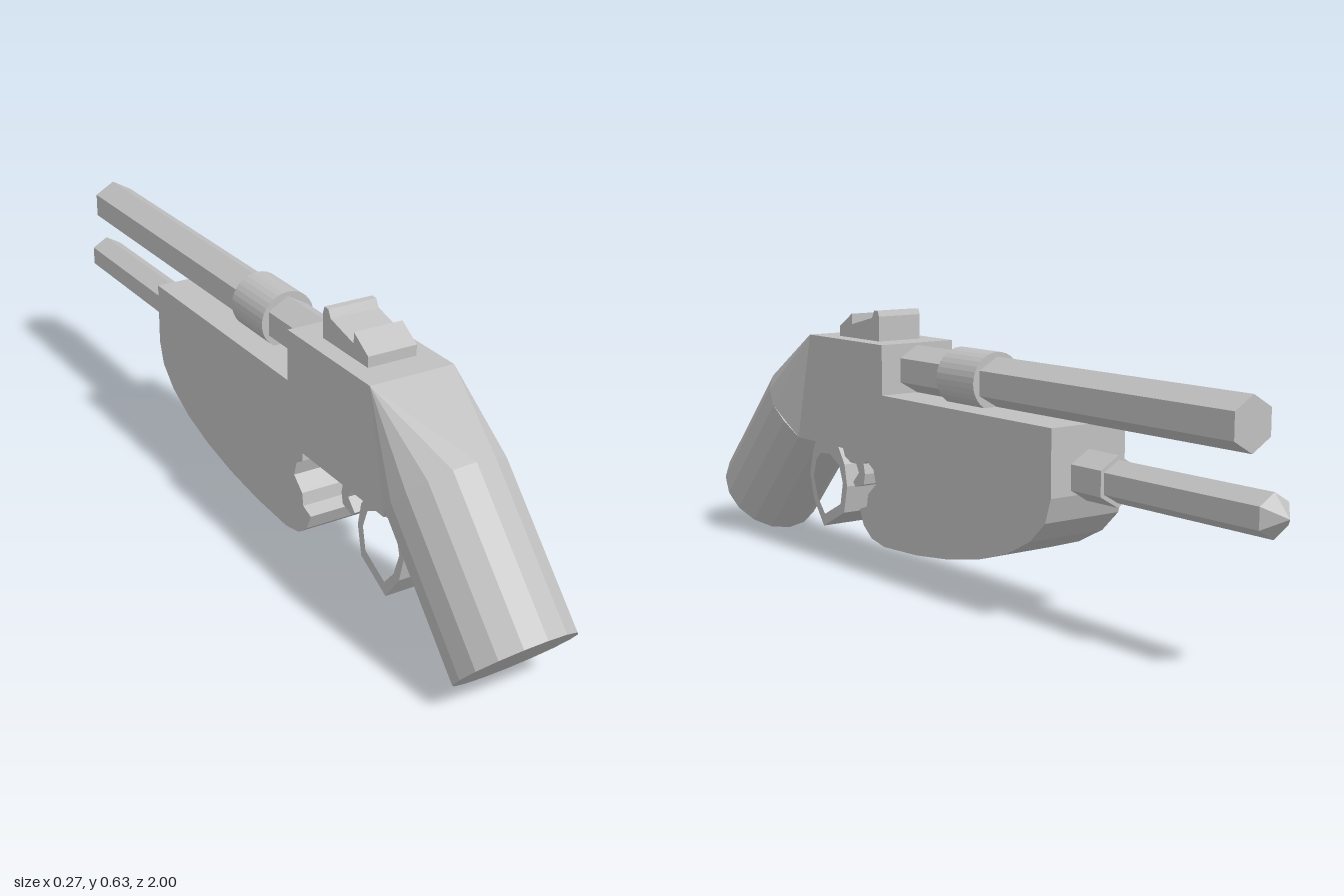
import * as THREE from 'three';

const metal = new THREE.MeshStandardMaterial({ color: 0xc0c0c0, flatShading: true });
metal.name = 'plain grey';

function add(group, name, geometry) {
  const mesh = new THREE.Mesh(geometry, metal);
  mesh.name = name;
  group.add(mesh);
  return mesh;
}

const points = (list) => list.map(([z, y]) => new THREE.Vector2(z, y));

// Side profile in (z, y), given a width across x and centred on x = 0
function slab(shape, width) {
  const g = new THREE.ExtrudeGeometry(shape, { depth: width, bevelEnabled: false, curveSegments: 7 });
  return g.translate(0, 0, -width / 2).rotateY(-Math.PI / 2);
}

// Rod along z from z0 (rear) to z1 (muzzle end)
function rod(r0, r1, sides, y, z0, z1) {
  const g = new THREE.CylinderGeometry(r1, r0, z0 - z1, sides);
  return g.rotateX(-Math.PI / 2).translate(0, y, (z0 + z1) / 2);
}

// Round slanted grip, lofted into the four corners of the body's rear face
function gripGeometry() {
  const n = 16, r = 0.135, v = [];
  const ring = (z, y) => Array.from({ length: n + 1 }, (_, i) => {
    const a = (i / n) * Math.PI * 2, c = Math.cos(a) * r;
    return [Math.sin(a) * r, y + c * 0.73, z + c * 0.685];
  });
  const butt = ring(0.9075, 0.0985), neck = ring(0.657, 0.367);
  const corners = [[0.103, 0.56, 0.523], [0.103, 0.29, 0.587], [-0.103, 0.29, 0.587], [-0.103, 0.56, 0.523]];
  const tri = (...p) => p.forEach((q) => v.push(...q));
  for (let i = 0; i < n; i++) {
    const q = Math.floor(i / 4);
    tri([0, 0.0985, 0.9075], butt[i + 1], butt[i]);
    tri(butt[i], butt[i + 1], neck[i + 1]);
    tri(butt[i], neck[i + 1], neck[i]);
    tri(neck[i], neck[i + 1], corners[q]);
    if (i % 4 === 0) tri(neck[i], corners[q], corners[(q + 3) % 4]);
  }
  const g = new THREE.BufferGeometry();
  g.setAttribute('position', new THREE.Float32BufferAttribute(v, 3));
  g.computeVertexNormals();
  return g;
}

export function createModel() {
  const model = new THREE.Group();
  model.name = 'toyPistol';

  // Body with a stepped top, finger notch and rounded belly
  const body = new THREE.Shape(points([
    [0.523, 0.56], [0.587, 0.29], [0.265, 0.29], [0.265, 0.27], [0.24, 0.255], [0.23, 0.22],
    [0.265, 0.19], [0.27, 0.16], [0.302, 0.148], [0.285, 0.11], [0.25, 0.083], [0.195, 0.072],
  ]));
  body.bezierCurveTo(-0.12, 0.072, -0.43, 0.15, -0.43, 0.29);
  body.lineTo(-0.43, 0.44);
  body.lineTo(0.2, 0.44);
  body.lineTo(0.2, 0.56);
  add(model, 'body', slab(body, 0.206));

  add(model, 'grip', gripGeometry());

  // Barrel and its clamp
  add(model, 'barrel', rod(0.0575, 0.0575, 6, 0.497, 0.2, -0.9));
  add(model, 'barrelClamp', rod(0.068, 0.068, 32, 0.497, 0.027, -0.113));

  // Lower rod with collar and pointed tip
  add(model, 'rodCollar', rod(0.056, 0.056, 6, 0.33, -0.4, -0.525));
  add(model, 'lowerRod', rod(0.046, 0.046, 6, 0.33, -0.5, -0.96));
  add(model, 'rodTip', rod(0.046, 0, 6, 0.33, -0.96, -1));

  // Rear sight
  add(model, 'sight', slab(new THREE.Shape(points([
    [0.45, 0.555], [0.45, 0.585], [0.395, 0.619], [0.395, 0.593], [0.305, 0.615],
    [0.295, 0.633], [0.28, 0.634], [0.275, 0.62], [0.275, 0.555],
  ])), 0.12));

  // Finger guard loop
  const guard = new THREE.Shape(points([
    [0.587, 0.25], [0.603, 0.19], [0.587, 0.125], [0.539, 0.06], [0.442, 0.11],
    [0.426, 0.18], [0.437, 0.235], [0.464, 0.275], [0.475, 0.295], [0.565, 0.295],
  ]));
  guard.holes.push(new THREE.Path(points([
    [0.571, 0.23], [0.585, 0.185], [0.566, 0.13], [0.533, 0.092], [0.458, 0.13],
    [0.446, 0.185], [0.462, 0.23], [0.507, 0.253], [0.55, 0.25],
  ])));
  add(model, 'triggerGuard', slab(guard, 0.12));

  // Trigger
  add(model, 'trigger', slab(new THREE.Shape(points([
    [0.46, 0.295], [0.442, 0.255], [0.415, 0.243], [0.39, 0.243], [0.378, 0.222], [0.405, 0.195],
    [0.394, 0.184], [0.357, 0.195], [0.351, 0.222], [0.357, 0.248], [0.27, 0.295],
  ])), 0.11));

  return model;
}
